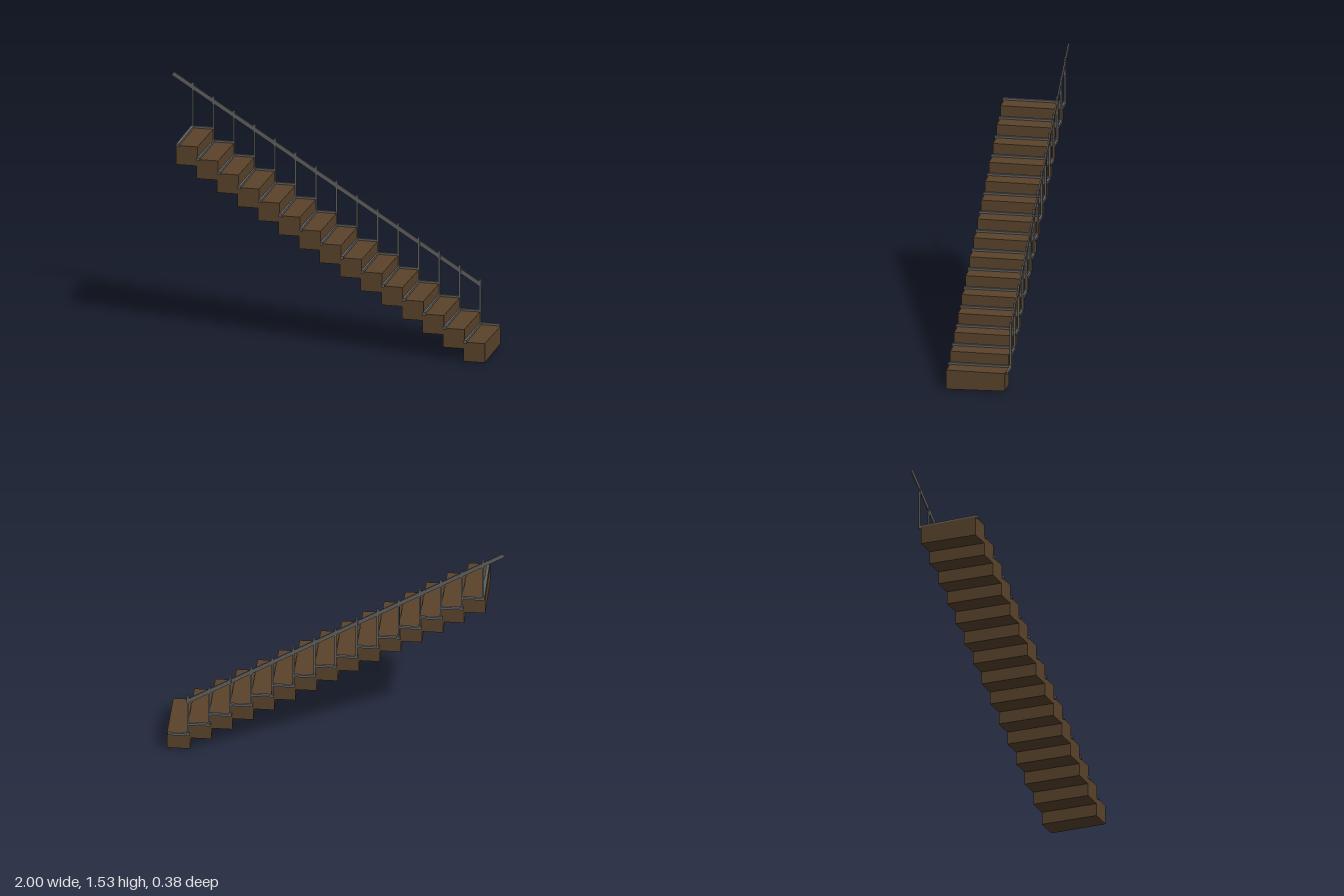
import * as THREE from 'three';

export function createModel() {
  const model = new THREE.Group();
  const wood = new THREE.MeshStandardMaterial({ color: 0x5a432b, flatShading: true });
  const metal = new THREE.MeshStandardMaterial({ color: 0x606060, flatShading: true });

  const COUNT = 15, RUN = 0.1244, RISE = 0.0771;
  const BACK = -0.184;

  function add(parent, name, geometry, material, x, y, z) {
    const mesh = new THREE.Mesh(geometry, material);
    mesh.name = name;
    mesh.position.set(x, y, z);
    parent.add(mesh);
    return mesh;
  }

  // Solid step block, slightly skewed towards the railing side
  const block = new THREE.BoxGeometry(0.13, 0.118, 0.352);
  const p = block.attributes.position;
  for (let i = 0; i < p.count; i++) {
    if (p.getZ(i) > 0) continue;
    if (p.getX(i) > 0) p.setX(i, p.getX(i) + 0.007);
    if (p.getY(i) < 0) p.setY(i, p.getY(i) + 0.01);
  }
  block.computeVertexNormals();

  const crossBar = new THREE.BoxGeometry(0.018, 0.019, 0.378);
  const sideBar = new THREE.BoxGeometry(RUN, 0.015, 0.014);
  const post = new THREE.BoxGeometry(0.011, 0.28, 0.011);
  const postCap = new THREE.BoxGeometry(0.014, 0.045, 0.013);

  // Flight climbing from +x to -x
  for (let i = 0; i < COUNT; i++) {
    const step = new THREE.Group();
    step.name = 'step' + (i + 1);
    step.position.set(0.87 - i * RUN, i * RISE, 0);
    add(step, 'stepBlock', block, wood, 0.053, 0.059, 0.004);
    add(step, 'crossBar', crossBar, metal, 0, 0.121, 0);
    add(step, 'sideBar', sideBar, metal, RUN / 2 - 0.004, 0.121, BACK);
    add(step, 'post', post, metal, 0, 0.255, BACK);
    add(step, 'postCap', postCap, metal, 0, 0.373, BACK);
    model.add(step);
  }

  // Sloping handrail, running past the top post
  const low = new THREE.Vector2(0.87, 0.362), high = new THREE.Vector2(-0.994, 1.522);
  const rail = add(model, 'handrail',
    new THREE.BoxGeometry(low.distanceTo(high), 0.025, 0.008), metal,
    (low.x + high.x) / 2, (low.y + high.y) / 2, BACK);
  rail.rotation.z = Math.atan2(low.y - high.y, low.x - high.x);

  return model;
}
